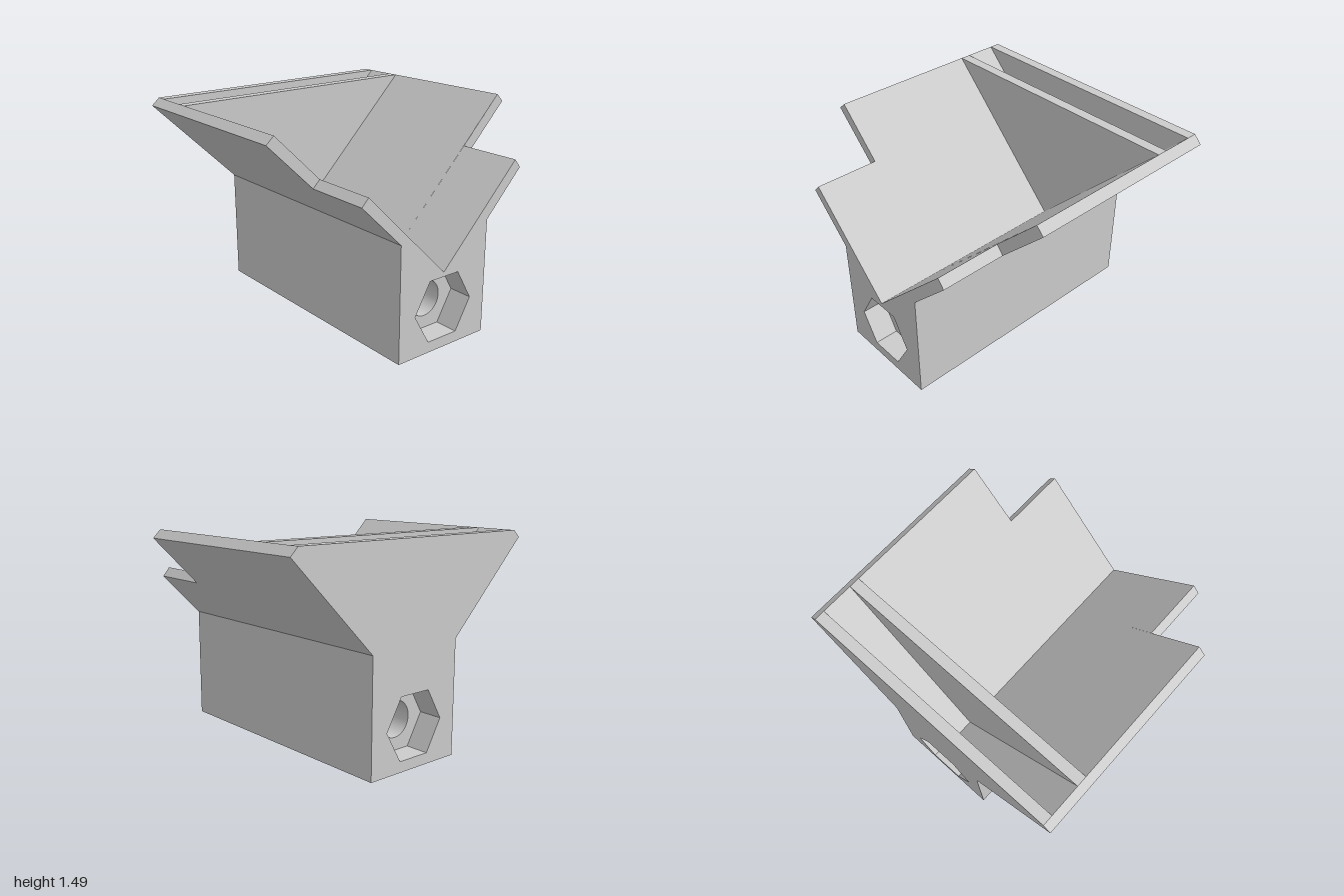
import * as THREE from 'three';
import { mergeVertices } from 'three/addons/utils/BufferGeometryUtils.js';

const material = new THREE.MeshStandardMaterial({ color: 0xcccccc });
const BACK = -0.955, FRONT = 0.955, STEP = 0.495, POCKET = 0.17;

// Cross-section points, as [x, y]
const baseL = [-0.37, 0], baseR = [0.38, 0];
const neckL = [-0.37, 0.8], neckR = [0.38, 0.8];
const valley = [0, 0.53];
const lowOutR = [0.675, 1.1], lowInR = [0.625, 1.16];
const lowOutL = [-0.675, 1.1], lowInL = [-0.625, 1.152];
const tipOutR = [1, 1.43], tipInR = [0.945, 1.485];
const tipOutL = [-1, 1.42], tipInL = [-0.945, 1.47];

// Regular polygon around the bolt axis, counter-clockwise
function ring(radius, sides) {
  return Array.from({ length: sides }, (_, i) => {
    const a = (i / sides) * Math.PI * 2;
    return [0.005 + radius * Math.cos(a), 0.287 + radius * Math.sin(a)];
  });
}
const hexagon = ring(0.245, 6);
const bore = ring(0.125, 48);

function add(group, name, geometry) {
  const mesh = new THREE.Mesh(geometry, material);
  mesh.name = name;
  group.add(mesh);
}

// Sweep an open path along z; the outside lies to the right of the path
function wall(path, z0, z1, smooth = false) {
  const pos = [];
  for (let i = 0; i + 1 < path.length; i++) {
    const [a, b] = [path[i], path[i + 1]];
    pos.push(...a, z0, ...b, z0, ...b, z1, ...a, z0, ...b, z1, ...a, z1);
  }
  let g = new THREE.BufferGeometry();
  g.setAttribute('position', new THREE.Float32BufferAttribute(pos, 3));
  if (smooth) g = mergeVertices(g);
  g.computeVertexNormals();
  return g;
}

// Flat face at height z, looking along +z or -z
function face(outline, z, facing, hole) {
  const toVec = (p) => new THREE.Vector2(...p);
  const shape = new THREE.Shape(outline.map(toVec));
  if (hole) shape.holes.push(new THREE.Path(hole.map(toVec)));
  const g = new THREE.ShapeGeometry(shape);
  if (facing < 0) {
    g.setIndex(Array.from(g.index.array).reverse());
    g.computeVertexNormals();
  }
  return g.translate(0, 0, z);
}

// Closed inward-facing path
const inward = (points) => [...points, points[0]].reverse();

export function createModel() {
  const model = new THREE.Group();

  // Block and V-shaped cradle
  add(model, 'baseBlock', wall([neckL, baseL, baseR, neckR], BACK, FRONT));
  add(model, 'cradleFrontEdges', wall([neckR, lowOutR, lowInR, valley, lowInL, lowOutL, neckL], STEP, FRONT));
  add(model, 'cradleWings', wall([neckR, tipOutR, tipInR, valley, tipInL, tipOutL, neckL], BACK, STEP));
  add(model, 'frontFace', face(
    [baseL, baseR, neckR, lowOutR, lowInR, valley, lowInL, lowOutL, neckL], FRONT, 1, hexagon));
  add(model, 'rightWingStep', face([lowOutL, lowInL, tipInL, tipOutL], STEP, 1));
  add(model, 'leftWingStep', face([lowOutR, tipOutR, tipInR, lowInR], STEP, 1));
  add(model, 'backFace', face(
    [baseL, baseR, neckR, tipOutR, tipInR, tipInL, tipOutL, neckL], BACK, -1, hexagon));

  // Two triangular walls across the cradle, with a slot between them
  const triangle = [valley, tipInR, tipInL];
  add(model, 'rearWallTop', wall([tipInR, tipInL], BACK, -0.88));
  add(model, 'rearWallFront', face(triangle, -0.88, 1));
  add(model, 'innerWallTop', wall([tipInR, tipInL], -0.655, -0.58));
  add(model, 'innerWallFront', face(triangle, -0.58, 1));
  add(model, 'innerWallBack', face(triangle, -0.655, -1));

  // Through bore with a hexagonal nut pocket at each end
  const zf = FRONT - POCKET, zb = BACK + POCKET;
  add(model, 'bore', wall(inward(bore), zb, zf, true));
  add(model, 'frontPocketSides', wall(inward(hexagon), zf, FRONT));
  add(model, 'frontPocketFloor', face(hexagon, zf, 1, bore));
  add(model, 'backPocketSides', wall(inward(hexagon), BACK, zb));
  add(model, 'backPocketFloor', face(hexagon, zb, -1, bore));

  return model;
}
